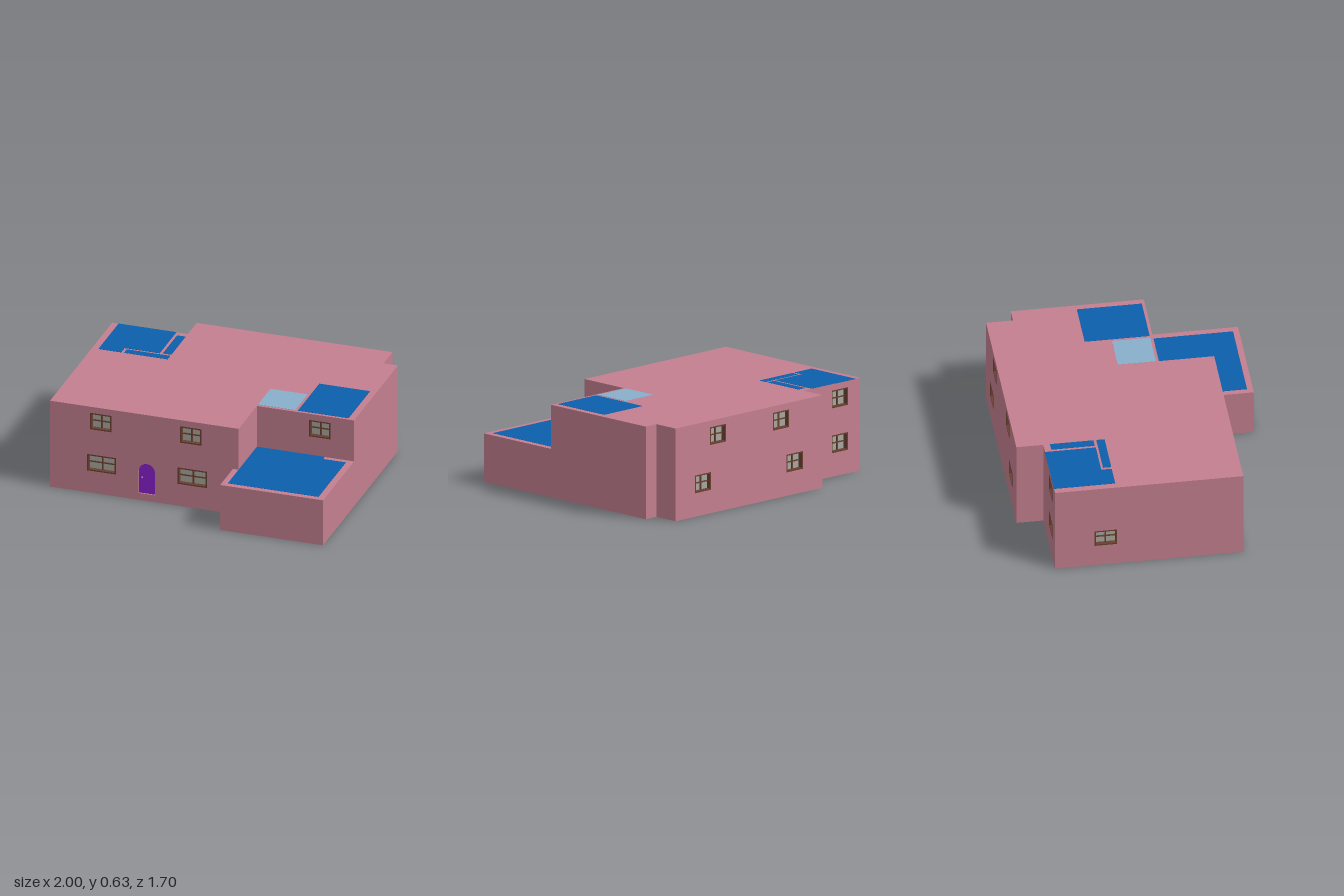
import * as THREE from 'three';

const paint = (color) => new THREE.MeshStandardMaterial({ color });
const PINK = paint(0xc47f90), BLUE = paint(0x0b60ac), PALE = paint(0x88aecb);
const BROWN = paint(0x6b4030), GLASS = paint(0xa8a8a0), PURPLE = paint(0x8a20cc), METAL = paint(0xcccccc);
const T = 0.04; // wall and slab thickness

function add(parent, name, geometry, material, x = 0, y = 0, z = 0) {
  const mesh = new THREE.Mesh(geometry, material);
  mesh.name = name;
  mesh.position.set(x, y, z);
  parent.add(mesh);
  return mesh;
}

function rectangle(Kind, cx, cy, w, h) {
  const p = new Kind();
  p.moveTo(cx - w / 2, cy - h / 2);
  p.lineTo(cx + w / 2, cy - h / 2);
  p.lineTo(cx + w / 2, cy + h / 2);
  p.lineTo(cx - w / 2, cy + h / 2);
  p.closePath();
  return p;
}

// Arched outline: straight sides with a half-round head
function arch(Kind, cx, y0, w, h) {
  const r = w / 2, p = new Kind();
  p.moveTo(cx - r, y0);
  p.lineTo(cx + r, y0);
  p.lineTo(cx + r, y0 + h - r);
  p.absarc(cx, y0 + h - r, r, 0, Math.PI, false);
  p.closePath();
  return p;
}

const extrude = (shape, depth) =>
  new THREE.ExtrudeGeometry(shape, { depth, bevelEnabled: false, curveSegments: 10 });

// Frame flush with the wall face, glazing bars and glass set back
function addWindow(wall, { s, y, w = 0.15, h = 0.12 }) {
  const win = new THREE.Group();
  win.name = 'window';
  win.position.set(s, y, 0);
  const frame = rectangle(THREE.Shape, 0, 0, w, h);
  frame.holes.push(rectangle(THREE.Path, 0, 0, w - 0.018, h - 0.018));
  add(win, 'windowFrame', extrude(frame, T), BROWN, 0, 0, -T);
  add(win, 'windowGlass', new THREE.BoxGeometry(w - 0.01, h - 0.01, 0.008), GLASS, 0, 0, -0.034);
  add(win, 'verticalBar', new THREE.BoxGeometry(0.01, h - 0.01, 0.01), BROWN, 0, 0, -0.027);
  add(win, 'horizontalBar', new THREE.BoxGeometry(w - 0.01, 0.008, 0.01), BROWN, 0, 0, -0.027);
  wall.add(win);
}

function addDoor(wall, { s, y, w, h }) {
  add(wall, 'door', extrude(arch(THREE.Shape, s, y, w, h), 0.02), PURPLE, 0, 0, -0.03);
  add(wall, 'doorKnob', new THREE.SphereGeometry(0.005, 12, 8), METAL, s - 0.035, 0.165, -0.007);
}

// Wall from a to b (x, z), outside face on the right-hand side of travel
function addWall(house, name, [ax, az], [bx, bz], y0, y1, windows = [], door = null) {
  const wall = new THREE.Group();
  wall.name = name;
  wall.position.set(ax, 0, az);
  wall.rotation.y = Math.atan2(az - bz, bx - ax);
  const length = Math.hypot(bx - ax, bz - az);
  const shape = rectangle(THREE.Shape, length / 2, (y0 + y1) / 2, length, y1 - y0);
  for (const o of windows) {
    shape.holes.push(rectangle(THREE.Path, o.s, o.y, o.w ?? 0.15, o.h ?? 0.12));
    addWindow(wall, o);
  }
  if (door) {
    shape.holes.push(arch(THREE.Path, door.s, door.y, door.w, door.h));
    addDoor(wall, door);
  }
  add(wall, name + 'Panel', extrude(shape, T), PINK, 0, 0, -T);
  house.add(wall);
}

// Horizontal slab from an outline of (x, z) points
function addSlab(house, name, outline, y, thickness) {
  const shape = new THREE.Shape(outline.map(([x, z]) => new THREE.Vector2(x, -z)));
  add(house, name, extrude(shape, thickness).rotateX(-Math.PI / 2), PINK, 0, y, 0);
}

export function createModel() {
  const house = new THREE.Group();
  house.name = 'house';
  const F = 0.02, E = 0.59, G = 0.29; // floor top, eaves, underside of low roof
  const UP = 0.525, LOW = 0.22; // window centre heights

  // Floor, main roof and low roof
  const back = [[1, -0.67], [0.9, -0.67], [0.9, -0.85], [-0.47, -0.85], [-0.47, -0.67], [-1, -0.67]];
  addSlab(house, 'floor', [[-1, 0.59], [0.28, 0.59], [0.28, 0.85], [1, 0.85], ...back], 0, F);
  addSlab(house, 'mainRoof', [[-1, 0.59], [0.32, 0.59], [0.32, 0.22], [1, 0.22], ...back], E, T);
  addSlab(house, 'lowRoof', [[0.28, 0.59], [0.28, 0.85], [1, 0.85], [1, 0.22], [0.32, 0.22], [0.32, 0.59]], G, T);

  // Front walls
  addWall(house, 'frontWall', [-1, 0.59], [0.32, 0.59], F, E, [
    { s: 0.36, y: LOW, w: 0.2 }, { s: 0.995, y: LOW, w: 0.205 },
    { s: 0.355, y: UP }, { s: 0.985, y: UP },
  ], { s: 0.677, y: 0.05, w: 0.115, h: 0.22 });
  addWall(house, 'upperReturnWall', [0.32, 0.59], [0.32, 0.22], G, E);
  addWall(house, 'upperFrontWall', [0.32, 0.22], [1, 0.22], G, E, [{ s: 0.44, y: UP }]);

  // Low front extension
  addWall(house, 'extensionLeftWall', [0.28, 0.59], [0.28, 0.85], F, G);
  addWall(house, 'extensionFrontWall', [0.28, 0.85], [1, 0.85], F, G);
  addWall(house, 'extensionSideWall', [1, 0.85], [1, 0.22], F, G);

  // Side and back walls
  addWall(house, 'sideWall', [1, 0.22], [1, -0.67], F, E);
  addWall(house, 'backStepWall', back[0], back[1], F, E);
  addWall(house, 'backStepReturn', back[1], back[2], F, E);
  addWall(house, 'backWall', back[2], back[3], F, E, [
    { s: 0.393, y: UP }, { s: 0.983, y: UP }, { s: 0.256, y: LOW }, { s: 1.111, y: LOW },
  ]);
  addWall(house, 'backReturnWall', back[3], back[4], F, E);
  addWall(house, 'backCornerWall', back[4], back[5], F, E, [{ s: 0.34, y: UP }, { s: 0.34, y: LOW }]);
  addWall(house, 'windowSideWall', back[5], [-1, 0.59], F, E, [{ s: 0.34, y: LOW }]);

  // Coloured roof panels: x0, x1, z0, z1, roof height, material
  const panels = [
    [-0.955, -0.55, -0.67, -0.33, 0.63, BLUE],
    [-0.53, -0.47, -0.625, -0.335, 0.63, BLUE],
    [-0.955, -0.795, -0.33, -0.26, 0.63, BLUE],
    [-0.775, -0.47, -0.315, -0.26, 0.63, BLUE],
    [0.6, 0.955, -0.235, 0.2, 0.63, BLUE],
    [0.32, 0.58, 0.2, -0.055, 0.63, PALE],
    [0.32, 0.955, 0.255, 0.81, 0.33, BLUE],
    [0.32, 0.795, 0.22, 0.255, 0.33, BLUE],
  ];
  for (const [x0, x1, z0, z1, y, material] of panels) {
    const geometry = new THREE.BoxGeometry(x1 - x0, 0.003, Math.abs(z1 - z0));
    add(house, 'roofPanel', geometry, material, (x0 + x1) / 2, y, (z0 + z1) / 2);
  }
  return house;
}
